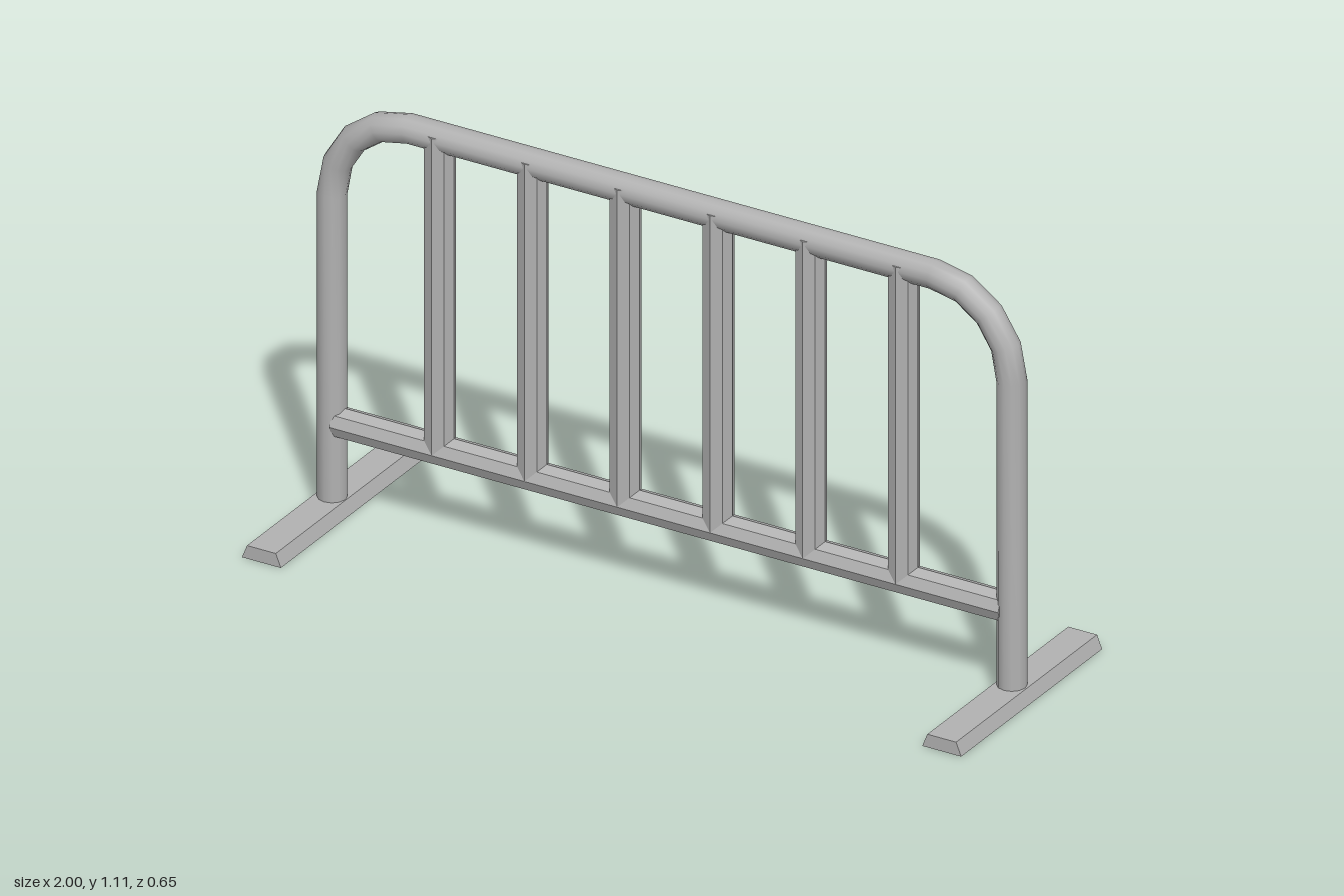
import * as THREE from 'three';

// Sweep a round section along a planar (xy) path, with mitred joints
function sweepTube(points, radius, sides) {
  const pos = [], idx = [];
  points.forEach((p, i) => {
    const a = points[Math.max(i - 1, 0)], b = points[Math.min(i + 1, points.length - 1)];
    const d1 = p.clone().sub(a).normalize(), d2 = b.clone().sub(p).normalize();
    const t = d1.add(d2).normalize();
    for (let j = 0; j < sides; j++) {
      const ang = (j / sides) * Math.PI * 2;
      const c = Math.cos(ang) * radius, s = Math.sin(ang) * radius;
      pos.push(p.x - t.y * c, p.y + t.x * c, s);
    }
  });
  for (let i = 0; i < points.length - 1; i++) {
    for (let j = 0; j < sides; j++) {
      const k = (j + 1) % sides;
      const a = i * sides + j, b = i * sides + k, c = a + sides, d = b + sides;
      idx.push(a, b, c, b, d, c);
    }
  }
  const g = new THREE.BufferGeometry();
  g.setAttribute('position', new THREE.Float32BufferAttribute(pos, 3));
  g.setIndex(idx);
  g.computeVertexNormals();
  return g;
}

export function createModel() {
  const group = new THREE.Group();
  const steel = new THREE.MeshStandardMaterial({ color: 0xb2b2b2 });
  steel.name = 'galvanised grey';

  const add = (name, geometry, x = 0, y = 0) => {
    const mesh = new THREE.Mesh(geometry, steel);
    mesh.name = name;
    mesh.position.set(x, y, 0);
    group.add(mesh);
    return mesh;
  };

  // Bent outer frame: two legs, two rounded corners and the top rail
  const legX = 0.945, topY = 1.078, bendX = 0.215, bendY = 0.228, steps = 4;
  const half = [new THREE.Vector2(-legX, 0.02)];
  for (let i = 0; i <= steps; i++) {
    const a = (i / steps) * Math.PI / 2;
    half.push(new THREE.Vector2(-legX + bendX * (1 - Math.cos(a)), topY - bendY * (1 - Math.sin(a))));
  }
  const mirrored = half.map(p => new THREE.Vector2(-p.x, p.y)).reverse();
  add('outerFrame', sweepTube([...half, ...mirrored], 0.037, 12));

  // Octagonal lower rail
  const barShape = length => {
    const g = new THREE.CylinderGeometry(0.039, 0.039, length, 8).toNonIndexed();
    g.computeVertexNormals();
    return g;
  };
  add('lowerRail', barShape(1.86), 0, 0.24).rotation.z = Math.PI / 2;

  // Six upright bars
  for (let i = 0; i < 6; i++) {
    add('uprightBar', barShape(0.85), (i - 2.5) * 0.258, 0.665);
  }

  // Flat feet with sloping long sides
  const profile = new THREE.Shape([[-0.054, 0], [0.054, 0], [0.04, 0.035], [-0.04, 0.035]]
    .map(([x, y]) => new THREE.Vector2(x, y)));
  for (const side of [-1, 1]) {
    const g = new THREE.ExtrudeGeometry(profile, { depth: 0.65, bevelEnabled: false });
    g.translate(0, 0, -0.325);
    add(side > 0 ? 'leftFoot' : 'rightFoot', g, side * 0.946, 0);
  }
  return group;
}
